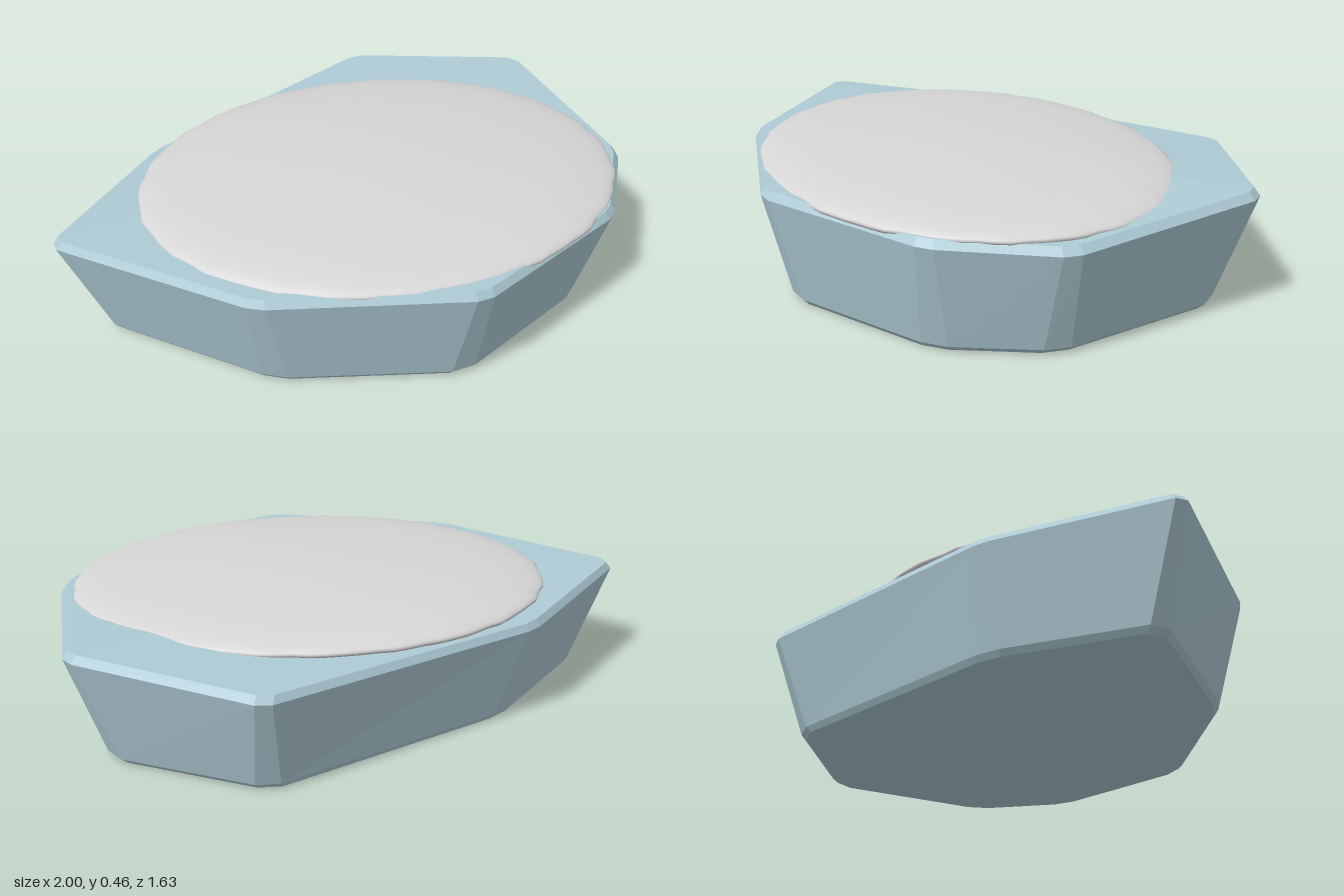
import * as THREE from 'three';

// Sharp corners of the slab, counterclockwise from above: [rim x, rim z, rim y, foot x, foot z]
const CORNERS = [
  [-1.02, 0.145, 0.37, -0.88, 0.13],
  [-0.47, 0.645, 0.37, -0.4, 0.575],
  [0.21, 0.815, 0.375, 0.2, 0.725],
  [0.79, 0.52, 0.37, 0.71, 0.46],
  [1.0, 0.155, 0.358, 0.895, 0.135],
  [0.915, -0.55, 0.393, 0.81, -0.48],
  [0.32, -0.835, 0.355, 0.31, -0.72],
  [-0.6, -0.35, 0.345, -0.52, -0.3],
];

// Cut each corner of a closed loop into two points
function chamfer(loop, d) {
  const out = [];
  loop.forEach((p, i) => {
    const prev = loop[(i + loop.length - 1) % loop.length];
    const next = loop[(i + 1) % loop.length];
    for (const q of [prev, next]) out.push(p.clone().lerp(q, d / p.distanceTo(q)));
  });
  return out;
}

// Pull a loop toward a middle axis and lift it
const inset = (loop, s, dy) => loop.map(p => new THREE.Vector3(p.x * s, p.y + dy, p.z * s));

function blockGeometry() {
  const rim = chamfer(CORNERS.map(c => new THREE.Vector3(c[0], c[2], c[1])), 0.03);
  const foot = chamfer(CORNERS.map(c => new THREE.Vector3(c[3], 0.02, c[4])), 0.045);
  const rings = [inset(foot, 0.975, -0.02), foot, rim, inset(rim, 0.98, 0.025)];
  const pos = [];
  const tri = (...pts) => pts.forEach(p => pos.push(p.x, p.y, p.z));
  const n = rim.length;
  const bottom = new THREE.Vector3(0, 0, 0);
  const top = new THREE.Vector3(0.05, 0.393, 0);
  for (let i = 0; i < n; i++) {
    const j = (i + 1) % n;
    for (let k = 0; k < 3; k++) {
      const a = rings[k], b = rings[k + 1];
      tri(a[i], a[j], b[j]);
      tri(a[i], b[j], b[i]);
    }
    tri(bottom, rings[0][j], rings[0][i]);
    tri(top, rings[3][i], rings[3][j]);
  }
  const g = new THREE.BufferGeometry();
  g.setAttribute('position', new THREE.Float32BufferAttribute(pos, 3));
  g.computeVertexNormals();
  return g;
}

// Flattened ellipsoid with a softly uneven surface and ragged rim
function snowGeometry() {
  const g = new THREE.SphereGeometry(1, 96, 40);
  const p = g.attributes.position;
  for (let i = 0; i < p.count; i++) {
    const x = p.getX(i), y = p.getY(i), z = p.getZ(i);
    const a = Math.atan2(z, x), r = Math.hypot(x, z);
    const ragged = 1 + r * r * (0.004 * Math.sin(23 * a) + 0.003 * Math.sin(37 * a + 1));
    const swell = 0.003 * Math.sin(5 * x + 1) * Math.cos(4 * z);
    p.setXYZ(i, 0.115 + 0.83 * x * ragged, 0.392 + y * (0.07 + swell), 0.085 + 0.665 * z * ragged);
  }
  g.computeVertexNormals();
  return g;
}

export function createModel() {
  const group = new THREE.Group();
  group.name = 'iceFloe';

  const ice = new THREE.MeshStandardMaterial({ color: 0xaecbd5, flatShading: true });
  ice.name = 'paleBlueIce';
  const snow = new THREE.MeshStandardMaterial({ color: 0xd6d6d6 });
  snow.name = 'snowWhite';

  // Faceted ice slab
  const block = new THREE.Mesh(blockGeometry(), ice);
  block.name = 'iceBlock';
  // Snow lying on top
  const cap = new THREE.Mesh(snowGeometry(), snow);
  cap.name = 'snowCap';

  group.add(block, cap);
  return group;
}
